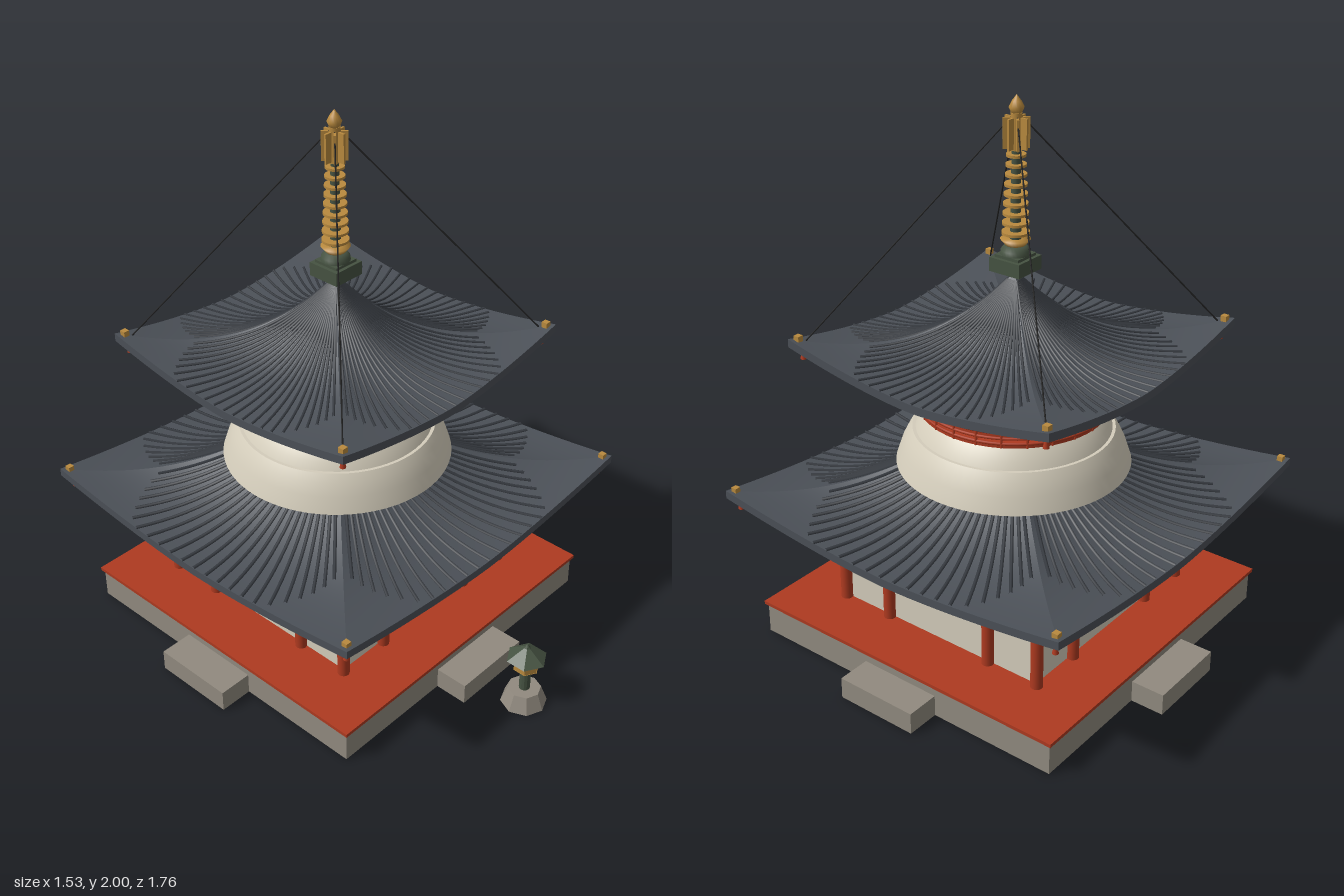
import * as THREE from 'three';
import { mergeGeometries } from 'three/addons/utils/BufferGeometryUtils.js';

const mat = (name, color, side = THREE.FrontSide) => {
  const m = new THREE.MeshStandardMaterial({ color, side });
  m.name = name;
  return m;
};

export function createModel() {
  const slate = mat('slate', 0x4b5057), rib = mat('dark tile', 0x363a40), red = mat('vermilion', 0xae3a20);
  const plaster = mat('plaster', 0xd4cdbb), stone = mat('stone', 0x918a7f), teal = mat('teal', 0x58a385);
  const bronze = mat('bronze green', 0x465342), gold = mat('gold', 0xb98a3e);
  const wood = mat('dark wood', 0x3b2a1c), iron = mat('iron', 0x232323);

  const model = new THREE.Group();
  model.name = 'pagodaAndLantern';
  const pagoda = new THREE.Group();
  pagoda.name = 'pagoda';
  pagoda.position.z = -0.115;
  model.add(pagoda);

  const add = (parent, name, geo, material, x = 0, y = 0, z = 0) => {
    const m = new THREE.Mesh(geo, material);
    m.name = name;
    m.position.set(x, y, z);
    parent.add(m);
    return m;
  };
  // Box given by its centre in x and z and its bottom and top
  const block = (parent, name, w, y0, y1, d, material, x = 0, z = 0) =>
    add(parent, name, new THREE.BoxGeometry(w, y1 - y0, d), material, x, (y0 + y1) / 2, z);
  const round = (parent, name, rTop, rBottom, y0, y1, material, x = 0, z = 0, sides = 24) =>
    add(parent, name, new THREE.CylinderGeometry(rTop, rBottom, y1 - y0, sides), material, x, (y0 + y1) / 2, z);
  const lathe = (parent, name, pts, material, sides = 64) =>
    add(parent, name, new THREE.LatheGeometry(pts.map(p => new THREE.Vector2(...p)), sides), material);
  const barGeo = (a, b, r, sides = 4) => new THREE.TubeGeometry(new THREE.LineCurve3(a, b), 1, r, sides);
  const V = (x, y, z) => new THREE.Vector3(x, y, z);
  // Four turned copies, one for each side
  const fourSides = (name, build) => {
    for (let k = 0; k < 4; k++) {
      const g = new THREE.Group();
      g.name = name;
      g.rotation.y = k * Math.PI / 2;
      build(g, k);
      pagoda.add(g);
    }
  };

  // Plinth, steps and floor
  block(pagoda, 'plinth', 1.28, 0, 0.117, 1.28, stone);
  block(pagoda, 'floor', 1.3, 0.117, 0.13, 1.3, red);
  fourSides('step', g => block(g, 'stepBlock', 0.316, 0, 0.08, 0.14, stone, 0, 0.695));

  // Lower storey: pillars, beams and walls
  fourSides('wallSide', (g, k) => {
    for (const x of [-0.225, 0.225, 0.435]) round(g, 'pillar', 0.022, 0.022, 0.13, 0.56, red, x, 0.435, 16);
    block(g, 'tieBeam', 0.96, 0.485, 0.512, 0.04, red, 0, 0.455);
    block(g, 'upperBeam', 0.9, 0.535, 0.555, 0.03, red, 0, 0.435);
    if (k > 0) return block(g, 'wall', 0.84, 0.13, 0.56, 0.02, plaster, 0, 0.415);
    block(g, 'lintelWall', 0.4, 0.435, 0.56, 0.02, plaster, 0, 0.415);
    for (const s of [-1, 1]) {
      block(g, 'frontWall', 0.22, 0.13, 0.56, 0.02, plaster, s * 0.31, 0.415);
      block(g, 'window', 0.13, 0.28, 0.44, 0.008, teal, s * 0.31, 0.428);
      // Lattice door leaf
      const bars = [];
      for (let i = 0; i <= 8; i++) {
        const x = s * (0.078 + i * 0.0152), r = i % 8 ? 0.0026 : 0.007;
        bars.push(barGeo(V(x, 0.13, 0.415), V(x, 0.435, 0.415), r));
      }
      for (let i = 0; i <= 18; i++) {
        const y = 0.135 + i * 0.0164, r = i % 18 ? 0.0026 : 0.007;
        bars.push(barGeo(V(s * 0.075, y, 0.415), V(s * 0.203, y, 0.415), r));
      }
      add(g, 'latticeDoor', mergeGeometries(bars), wood);
    }
    block(g, 'doorHead', 0.41, 0.425, 0.437, 0.025, wood, 0, 0.415);
  });

  // Seated gilded statues inside
  const statue = (x, z, y, s) => {
    const g = new THREE.Group();
    g.name = 'statue';
    g.position.set(x, y, z);
    g.scale.setScalar(s);
    const ball = (name, px, py, pz, sx, sy, sz) =>
      add(g, name, new THREE.SphereGeometry(1, 16, 12), gold, px, py, pz).scale.set(sx, sy, sz);
    round(g, 'lotusSeat', 0.075, 0.055, 0, 0.05, gold);
    ball('legs', 0, 0.07, 0.01, 0.072, 0.026, 0.05);
    ball('torso', 0, 0.12, 0, 0.042, 0.06, 0.032);
    ball('head', 0, 0.195, 0.003, 0.023, 0.028, 0.023);
    ball('topknot', 0, 0.222, 0, 0.011, 0.011, 0.011);
    for (const e of [-1, 1]) {
      ball('upperArm', e * 0.045, 0.12, 0.005, 0.014, 0.04, 0.016);
      ball('forearm', e * 0.026, 0.1, 0.035, 0.028, 0.011, 0.014);
    }
    add(g, 'halo', new THREE.TorusGeometry(0.058, 0.007, 8, 32), gold, 0, 0.18, -0.03);
    pagoda.add(g);
  };
  block(pagoda, 'altar', 0.36, 0.13, 0.18, 0.2, wood, 0, 0.2);
  statue(0, 0.22, 0.18, 1);
  for (const s of [-1, 1]) statue(s * 0.15, 0.24, 0.18, 0.5);

  // Curved square roof with radiating tile ribs, rafters and corner ornaments
  const roof = (name, { half, eave, rise, power, lift, start, rafter }) => {
    const thick = 0.03;
    const height = (r, u) => eave + rise * (1 - r) ** power + lift * r * r * Math.abs(u) ** 1.6;
    const at = (r, u, dy = 0) => V(u * r * half, height(r, u) + dy, r * half);
    const sheet = (rows, place) => {
      const geo = new THREE.PlaneGeometry(2, 1, 24, rows), p = geo.attributes.position;
      for (let i = 0; i < p.count; i++) {
        const v = place(p.getX(i), 0.5 - p.getY(i));
        p.setXYZ(i, v.x, v.y, v.z);
      }
      geo.computeVertexNormals();
      return geo;
    };
    const slope = t => start + (1 - start) * t;
    fourSides(name, g => {
      add(g, 'roofSlope', sheet(20, (u, t) => at(slope(t), u)), slate);
      add(g, 'roofUnderside', sheet(20, (u, t) => at(slope(t), -u, -thick)), slate);
      add(g, 'eaveEdge', sheet(1, (u, t) => at(1, u, -thick * t)), slate);
      const ribs = [], rafters = [];
      for (let i = -11; i <= 11; i++) {
        const u = i * 0.083;
        const end = 1 - Math.max(0, Math.abs(u) - 0.45) * 0.7, pts = [];
        for (let j = 0; j <= 8; j++) pts.push(at(start + 0.03 + (end - start - 0.03) * j / 8, u, 0.001));
        ribs.push(new THREE.TubeGeometry(new THREE.CatmullRomCurve3(pts), 14, half * 0.009, 5));
        const x = i * half * 0.082, inner = Math.max(rafter, Math.abs(x)), outer = half * 0.93;
        const under = z => V(x, height(z / half, x / z) - thick - 0.005, z);
        if (inner < outer) rafters.push(barGeo(under(inner), under(outer), 0.008));
      }
      add(g, 'tileRibs', mergeGeometries(ribs), rib);
      add(g, 'rafters', mergeGeometries(rafters), red);
      const c = half - 0.025, top = eave + lift;
      block(g, 'cornerOrnament', 0.022, top - 0.01, top + 0.012, 0.022, gold, c, c);
      round(g, 'windBell', 0.005, 0.011, top - 0.075, top - 0.045, red, c - 0.01, c - 0.01, 10);
      round(g, 'bellHanger', 0.002, 0.002, top - 0.046, top - 0.02, iron, c - 0.01, c - 0.01, 6);
    });
  };
  roof('lowerRoof', { half: 0.725, eave: 0.535, rise: 0.42, power: 2.34, lift: 0.068, start: 0.2, rafter: 0.47 });
  roof('upperRoof', { half: 0.548, eave: 1.1, rise: 0.29, power: 2.8, lift: 0.078, start: 0.005, rafter: 0.34 });

  // Plaster dome between the roofs
  lathe(pagoda, 'domeSkirt', [[0, 0.68], [0.42, 0.68], [0.42, 0.68], [0.4, 0.74], [0.378, 0.785], [0.36, 0.812],
    [0.36, 0.812], [0.345, 0.812]], plaster);
  lathe(pagoda, 'domeTop', [[0.352, 0.805], [0.335, 0.84], [0.31, 0.872], [0.29, 0.892], [0.29, 0.892], [0, 0.9]], plaster);

  // Upper drum, balcony and railing
  round(pagoda, 'drum', 0.29, 0.29, 0.89, 1.1, red, 0, 0, 64);
  round(pagoda, 'balcony', 0.335, 0.335, 0.89, 0.9, red, 0, 0, 64);
  lathe(pagoda, 'bracketRing', [[0.285, 1.07], [0.3, 1.075], [0.34, 1.1], [0.34, 1.112], [0.28, 1.115]], red);
  for (const y of [0.905, 0.925, 0.945])
    add(pagoda, 'rail', new THREE.TorusGeometry(0.334, 0.005, 6, 64), red, 0, y).rotation.x = Math.PI / 2;
  for (let i = 0; i < 24; i++) {
    const a = i / 24 * Math.PI * 2;
    round(pagoda, 'railPost', 0.005, 0.005, 0.89, 0.95, red, Math.cos(a) * 0.334, Math.sin(a) * 0.334, 6);
  }

  // Spire
  block(pagoda, 'spireBase', 0.126, 1.395, 1.445, 0.126, bronze);
  block(pagoda, 'spireBaseCap', 0.1, 1.445, 1.455, 0.1, bronze);
  lathe(pagoda, 'spireBowl', [[0.052, 1.455], [0.05, 1.47], [0.038, 1.485], [0, 1.49]], bronze, 24);
  lathe(pagoda, 'spireLotus', [[0.02, 1.48], [0.035, 1.487], [0.052, 1.508], [0.018, 1.508]], gold, 24);
  round(pagoda, 'spirePole', 0.013, 0.02, 1.48, 1.95, bronze, 0, 0, 12);
  for (let i = 0; i < 9; i++) {
    const r = 0.048 - i * 0.0018;
    round(pagoda, 'spireRing', r, r, 1.526 + i * 0.0335, 1.535 + i * 0.0335, gold);
  }
  for (let k = 0; k < 4; k++) {
    const flame = block(pagoda, 'spireFlame', 0.09, 1.82, 1.925, 0.008, gold);
    flame.rotation.y = k * Math.PI / 4;
  }
  round(pagoda, 'spireCollar', 0.02, 0.02, 1.815, 1.94, gold, 0, 0, 12);
  lathe(pagoda, 'spireJewel', [[0.008, 1.93], [0.018, 1.94], [0.026, 1.958], [0.016, 1.978], [0, 2]], gold, 16);
  fourSides('chainSide', g => add(g, 'chain', barGeo(V(0, 1.945, 0), V(0.505, 1.17, 0.505), 0.0028, 5), iron));

  // Stone lantern before the front steps
  const lantern = new THREE.Group();
  lantern.name = 'lantern';
  lantern.position.z = 0.795;
  model.add(lantern);
  const faceted = (name, rt, rb, y0, y1, material, sides) => {
    const m = round(lantern, name, rt, rb, y0, y1, material, 0, 0, sides);
    m.geometry = m.geometry.toNonIndexed();
    m.geometry.computeVertexNormals();
  };
  faceted('lanternFoot', 0.06, 0.084, 0, 0.062, stone, 8);
  faceted('lanternPost', 0.02, 0.02, 0.06, 0.155, bronze, 12);
  faceted('lanternShelf', 0.048, 0.035, 0.145, 0.157, gold, 6);
  faceted('lanternBox', 0.046, 0.046, 0.157, 0.21, gold, 6);
  faceted('lanternRoof', 0.012, 0.075, 0.203, 0.248, bronze, 6);
  faceted('lanternKnob', 0.003, 0.012, 0.248, 0.262, bronze, 6);

  return model;
}
